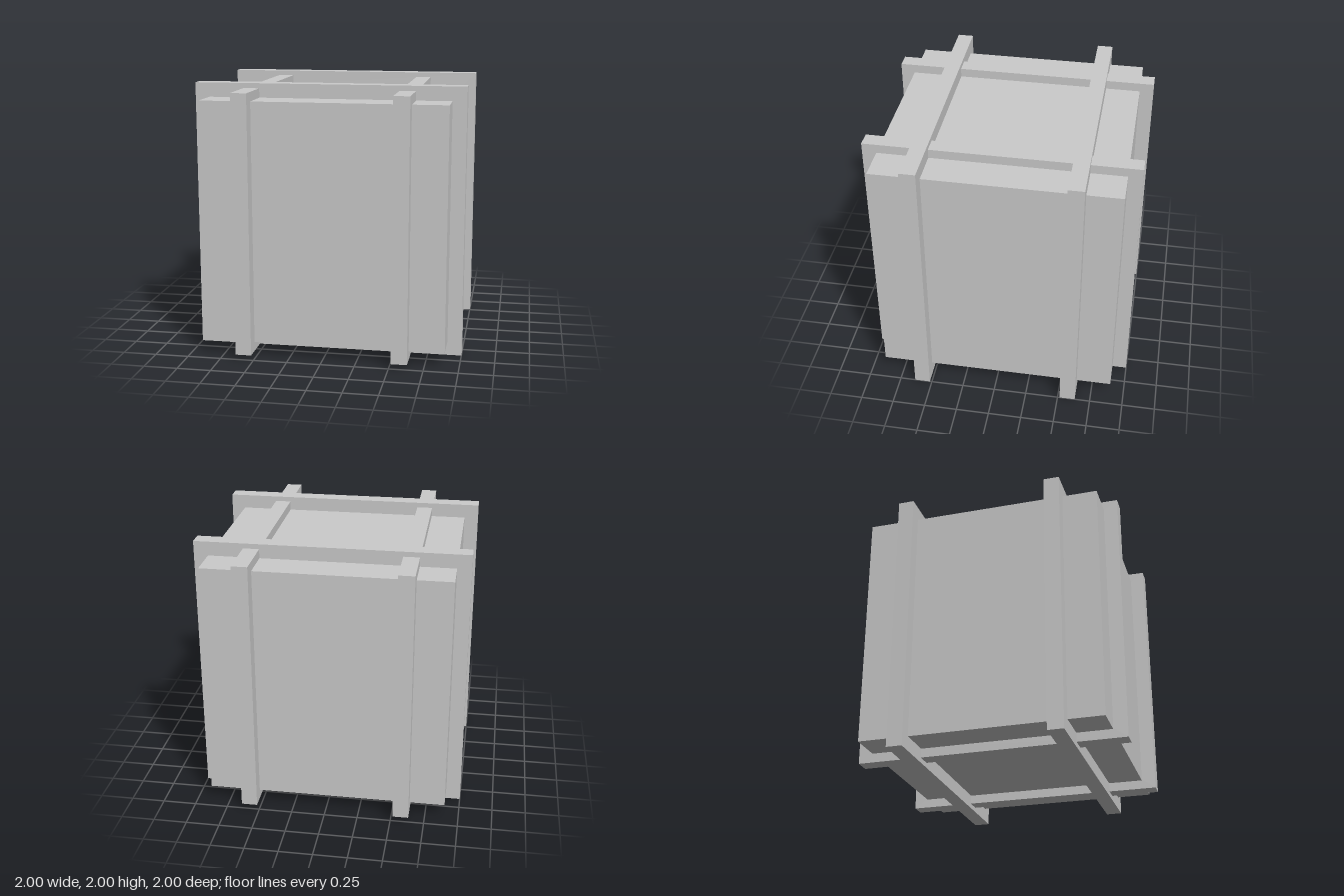
import * as THREE from 'three';

const material = new THREE.MeshStandardMaterial({ color: 0xcccccc, flatShading: true });
const BOX = 1.79;       // edge of the crate body
const STRAP = 0.118;    // width of each strap
const OFFSET = 0.575;   // strap distance from the centre

// Closed rectangular hoop around the body, in the XY plane, centred on its thickness
function strapGeometry(halfWidth, halfHeight) {
  const rect = (target, w, h) => {
    target.moveTo(-w, -h);
    target.lineTo(w, -h);
    target.lineTo(w, h);
    target.lineTo(-w, h);
    target.closePath();
    return target;
  };
  const shape = rect(new THREE.Shape(), halfWidth, halfHeight);
  const inner = BOX / 2 - 0.03; // sunk slightly into the body
  shape.holes.push(rect(new THREE.Path(), inner, inner));
  const geometry = new THREE.ExtrudeGeometry(shape, { depth: STRAP, bevelEnabled: false });
  return geometry.translate(0, 0, -STRAP / 2);
}

export function createModel() {
  const model = new THREE.Group();
  model.name = 'crate';

  const add = (name, geometry, x, z) => {
    const mesh = new THREE.Mesh(geometry, material);
    mesh.name = name;
    mesh.position.set(x, 1, z);
    model.add(mesh);
  };

  // Body
  add('crateBody', new THREE.BoxGeometry(BOX, BOX, BOX), 0, 0);

  // Taller hoops run across the crate, lower ones run front to back
  const across = strapGeometry(1, 1);
  const lengthwise = strapGeometry(1, 0.963).rotateY(Math.PI / 2);
  for (const side of [-1, 1]) {
    add(side > 0 ? 'frontStrap' : 'backStrap', across, 0, side * OFFSET);
    add(side > 0 ? 'leftStrap' : 'rightStrap', lengthwise, side * OFFSET, 0);
  }
  return model;
}
